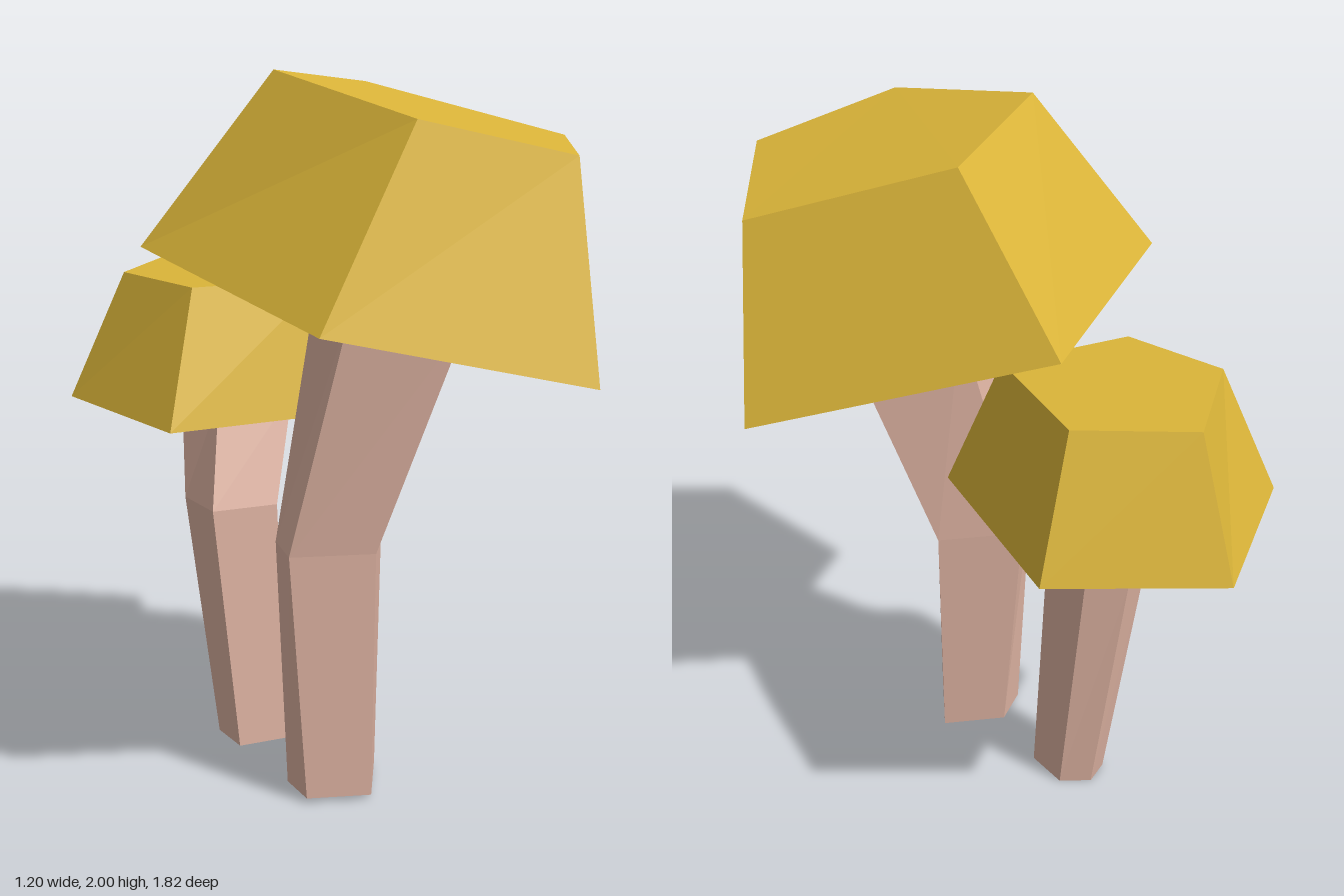
import * as THREE from 'three';

const capYellow = new THREE.MeshStandardMaterial({ color: 0xdbb539 });
capYellow.name = 'mustard cap';
const stemPink = new THREE.MeshStandardMaterial({ color: 0xdeb3a2 });
stemPink.name = 'pale pink stem';

// Closed faceted solid through rings of [x, y, z], counterclockwise seen from above, lowest ring first.
function loft(name, rings, material) {
  const pos = [];
  const tri = (a, b, c) => pos.push(...a, ...b, ...c);
  const n = rings[0].length;
  for (let r = 0; r < rings.length - 1; r++) {
    const lo = rings[r], hi = rings[r + 1];
    for (let i = 0; i < n; i++) {
      const j = (i + 1) % n;
      tri(lo[i], lo[j], hi[j]);
      tri(lo[i], hi[j], hi[i]);
    }
  }
  const bottom = rings[0], top = rings[rings.length - 1];
  for (let i = 1; i < n - 1; i++) {
    tri(bottom[0], bottom[i + 1], bottom[i]);
    tri(top[0], top[i], top[i + 1]);
  }
  const geometry = new THREE.BufferGeometry();
  geometry.setAttribute('position', new THREE.Float32BufferAttribute(pos, 3));
  geometry.computeVertexNormals();
  const mesh = new THREE.Mesh(geometry, material);
  mesh.name = name;
  return mesh;
}

// Ring of [x, z] pairs at a height, or on a slope given as a function of x and z.
const ring = (y, points) =>
  points.map(([x, z]) => [x, typeof y === 'function' ? y(x, z) : y, z]);

export function createModel() {
  const model = new THREE.Group();
  model.name = 'mushrooms';

  // Large mushroom: tilted cap on a bent five-sided stem
  const large = new THREE.Group();
  large.name = 'largeMushroom';
  const underside = (x, z) => 1.398 - 0.2 * (x + 0.1) - 0.14 * (z - 0.254);
  large.add(
    loft('largeCap', [
      [[-0.6, 1.44, 0.6], [0.03, 1.27, 0.905], [0.595, 1.258, 0.27], [0.06, 1.47, -0.36], [-0.58, 1.55, -0.14]],
      [[-0.28, 1.915, 0.58], [0.105, 1.813, 0.745], [0.503, 1.797, 0.335], [0.125, 1.937, -0.06], [-0.31, 2, 0.08]],
    ], capYellow),
    loft('largeStem', [
      ring(0.015, [[-0.165, 0.3], [-0.02, 0.15], [-0.17, 0.035], [-0.29, 0.085], [-0.315, 0.2]]),
      ring(0.73, [[-0.16, 0.31], [0.035, 0.115], [-0.165, -0.035], [-0.3, 0.055], [-0.355, 0.18]]),
      ring((x, z) => underside(x, z) + 0.02, [[-0.005, 0.48], [0.225, 0.255], [0, 0.055], [-0.21, 0.13], [-0.26, 0.33]]),
    ], stemPink),
  );

  // Small mushroom: level cap
  const small = new THREE.Group();
  small.name = 'smallMushroom';
  small.add(
    loft('smallCap', [
      ring(1.018, [[-0.475, -0.18], [0.11, 0], [0.357, -0.56], [0.02, -0.91], [-0.465, -0.69]]),
      ring(1.388, [[-0.325, -0.27], [0.035, -0.13], [0.2, -0.51], [-0.02, -0.757], [-0.34, -0.58]]),
    ], capYellow),
    loft('smallStem', [
      ring(0, [[-0.237, -0.204], [-0.098, -0.156], [-0.07, -0.286], [-0.137, -0.352], [-0.218, -0.33]]),
      ring(0.73, [[-0.28, -0.257], [-0.098, -0.19], [-0.063, -0.362], [-0.155, -0.445], [-0.258, -0.421]]),
      ring(1.03, [[-0.19, -0.34], [0.015, -0.256], [0.062, -0.465], [-0.06, -0.572], [-0.175, -0.54]]),
    ], stemPink),
  );

  model.add(large, small);
  return model;
}
